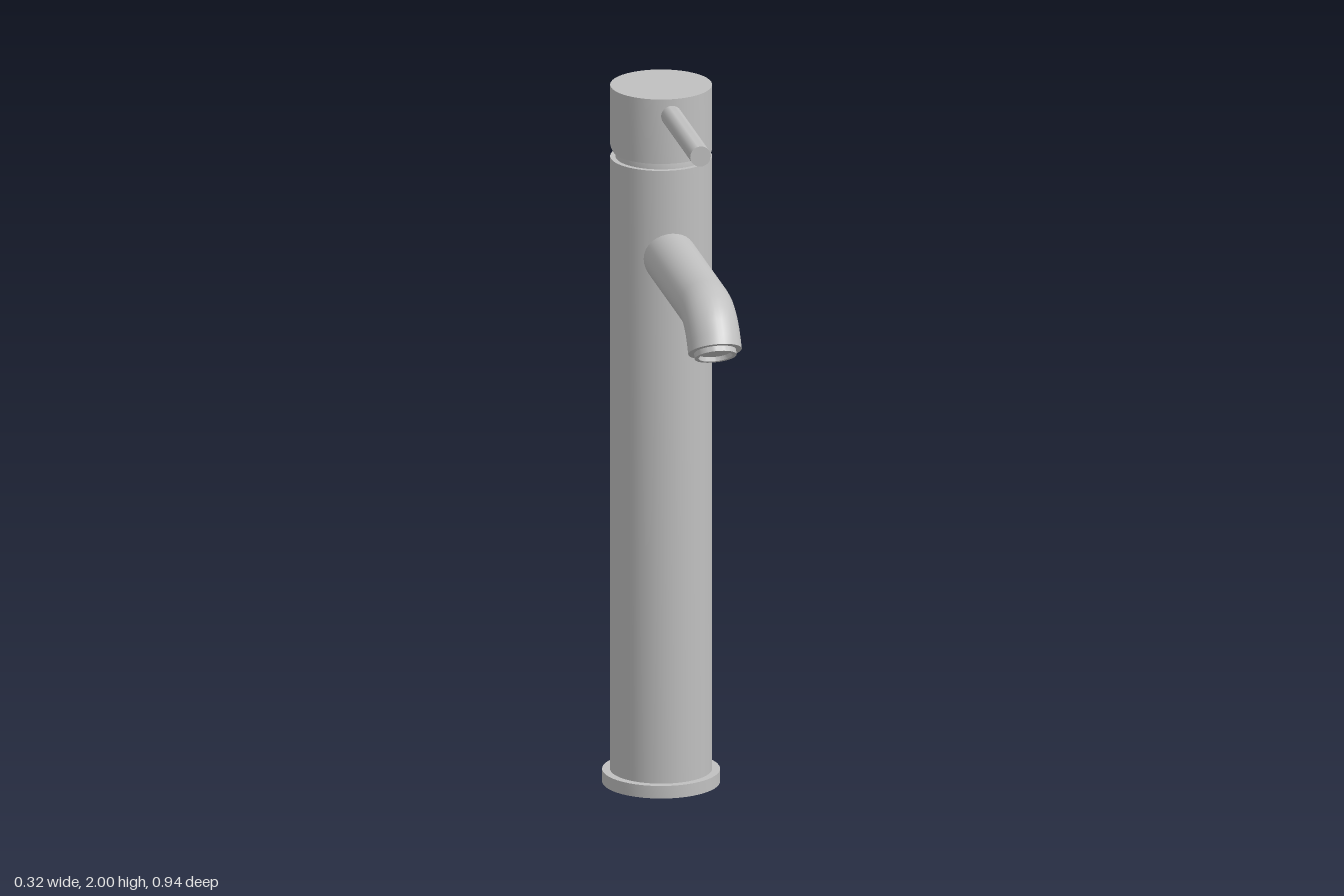
import * as THREE from 'three';
import { toCreasedNormals } from 'three/addons/utils/BufferGeometryUtils.js';

const AXIS_Z = -0.313; // centre line of the column
const SEGMENTS = 48;

export function createModel() {
  const model = new THREE.Group();
  const metal = new THREE.MeshStandardMaterial({ color: 0xc0c0c0 });
  metal.name = 'brushed metal';

  function add(name, geometry, y = 0, z = 0) {
    const mesh = new THREE.Mesh(toCreasedNormals(geometry, 0.6), metal);
    mesh.name = name;
    mesh.position.set(0, y, z);
    model.add(mesh);
    return mesh;
  }
  const lathe = (points) =>
    new THREE.LatheGeometry(points.map(([r, y]) => new THREE.Vector2(r, y)), SEGMENTS);

  // Foot and column
  add('baseFlange', lathe([[0, 0], [0.162, 0], [0.162, 0.036], [0, 0.036]]), 0, AXIS_Z);
  add('column', lathe([[0, 0.03], [0.14, 0.03], [0.14, 1.795], [0, 1.795]]), 0, AXIS_Z);

  // Rounded pivot under the cap
  add('pivotDome', lathe([[0, 1.785], [0.126, 1.785], [0.125, 1.81], [0.118, 1.835],
    [0.101, 1.86], [0.06, 1.885], [0, 1.895]]), 0, AXIS_Z);

  // Cap, its underside cut upwards towards the back
  const cap = lathe([[0, 1.815], [0.03, 1.815], [0.06, 1.815], [0.09, 1.815],
    [0.115, 1.815], [0.14, 1.815], [0.14, 2], [0, 2]]);
  const capPos = cap.attributes.position;
  for (let i = 0; i < capPos.count; i++) {
    if (capPos.getY(i) < 1.9) {
      capPos.setY(i, 1.815 + Math.max(0, 0.043 - capPos.getZ(i)) * 0.273);
    }
  }
  add('cap', cap, 0, AXIS_Z);

  // Lever rod
  const rod = new THREE.CylinderGeometry(0.029, 0.029, 0.442, 24);
  add('leverRod', rod.rotateX(Math.PI / 2), 1.952, -0.009);

  // Spout stations: straight pipe, bend, short straight end
  const bend = THREE.MathUtils.degToRad(57);
  const radius = 0.141, bendZ = 0.27, spoutY = 1.54, steps = 5, tail = 0.03;
  const stations = [{ z: -0.3, y: spoutY, a: 0 }];
  for (let i = 0; i <= steps; i++) {
    const a = (bend * i) / steps;
    stations.push({
      z: bendZ + radius * Math.sin(a),
      y: spoutY - radius * (1 - Math.cos(a)),
      a,
    });
  }
  const last = stations[stations.length - 1];
  const end = {
    z: last.z + tail * Math.cos(bend),
    y: last.y - tail * Math.sin(bend),
    a: bend,
  };
  stations.push(end);

  // Each ring of a cylinder is moved to its station
  const rings = stations.length - 1;
  const spout = new THREE.CylinderGeometry(0.074, 0.074, rings, 32, rings);
  const pos = spout.attributes.position;
  for (let i = 0; i < pos.count; i++) {
    const s = stations[Math.round(pos.getY(i) + rings / 2)];
    const up = -pos.getZ(i);
    pos.setXYZ(i, pos.getX(i), s.y + up * Math.cos(s.a), s.z + up * Math.sin(s.a));
  }
  add('spout', spout);

  // Recessed outlet ring at the spout end
  const outlet = add('outletRing', lathe([[0.058, -0.005], [0.058, 0.015],
    [0.047, 0.015], [0.045, 0.003], [0, 0.003]]), end.y, end.z);
  outlet.rotation.x = Math.PI / 2 + bend;

  return model;
}
